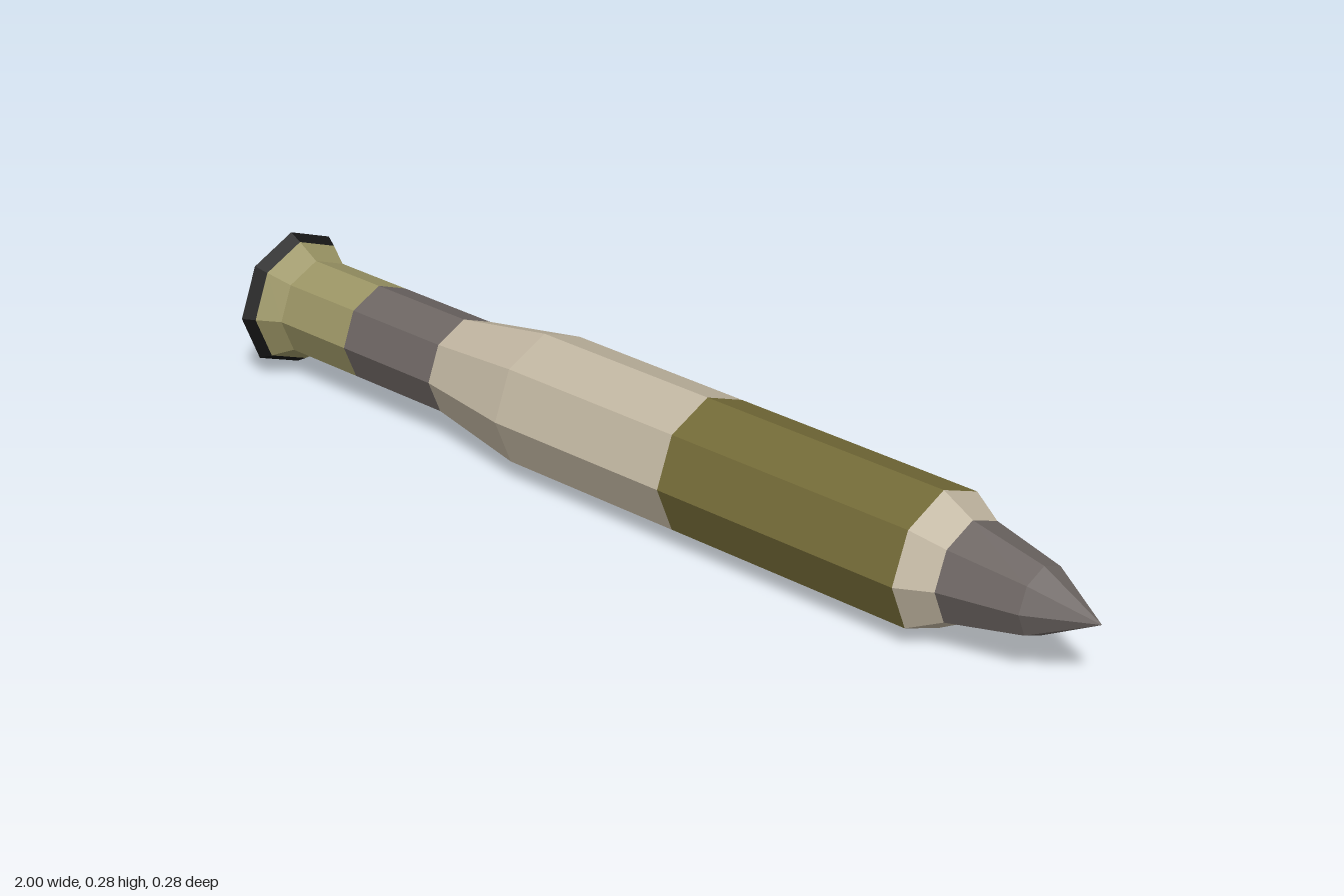
import * as THREE from 'three';

const SIDES = 8;
const AXIS_Y = 0.142;

const paint = (name, color) => {
  const m = new THREE.MeshStandardMaterial({ color });
  m.name = name;
  return m;
};

// Faceted octagonal ring between two [x, radius] stations along the x axis
function section(name, [x0, r0], [x1, r1], material, open = true) {
  const g = new THREE.CylinderGeometry(r1, r0, x1 - x0, SIDES, 1, open)
    .rotateZ(-Math.PI / 2)
    .translate((x0 + x1) / 2, AXIS_Y, 0)
    .toNonIndexed();
  g.computeVertexNormals();
  const mesh = new THREE.Mesh(g, material);
  mesh.name = name;
  return mesh;
}

export function createModel() {
  const black = paint('black', 0x161616);
  const khaki = paint('khaki', 0x9a9464);
  const grey = paint('warm grey', 0x6c6562);
  const beige = paint('beige', 0xc0b5a0);
  const olive = paint('olive', 0x736a37);

  // Each part: name, material, stations from tail to tip
  const parts = [
    ['tailCasing', khaki, [[-0.975, 0.128], [-0.93, 0.1], [-0.75, 0.1]]],
    ['neck', grey, [[-0.75, 0.1], [-0.515, 0.1]]],
    ['rearBody', beige, [[-0.515, 0.1], [-0.3, 0.137], [0.11, 0.137]]],
    ['frontBody', olive, [[0.11, 0.137], [0.655, 0.137]]],
    ['noseCollar', beige, [[0.655, 0.137], [0.72, 0.101]]],
    ['noseCone', grey, [[0.72, 0.101], [0.875, 0.068], [1, 0]]],
  ];

  const model = new THREE.Group();
  model.name = 'rocketShell';

  // Flared nozzle rim, closed at the back
  model.add(section('nozzleRim', [-1, 0.142], [-0.975, 0.128], black, false));

  for (const [name, material, stations] of parts) {
    const part = new THREE.Group();
    part.name = name;
    for (let i = 1; i < stations.length; i++) {
      part.add(section(`${name}Section${i}`, stations[i - 1], stations[i], material));
    }
    model.add(part);
  }
  return model;
}
